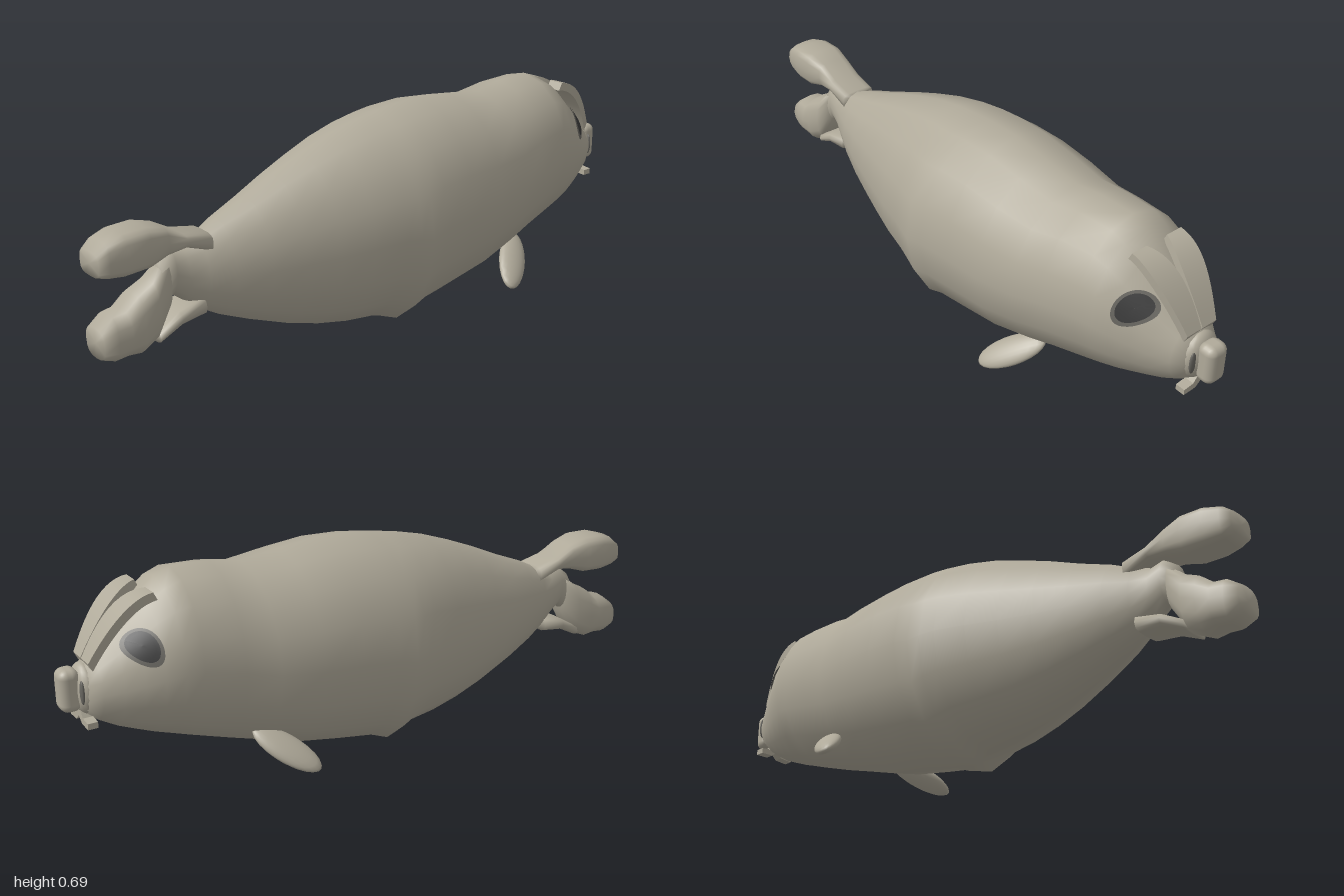
import * as THREE from 'three';
import { RoundedBoxGeometry } from 'three/addons/geometries/RoundedBoxGeometry.js';

const fur = new THREE.MeshStandardMaterial({ color: 0xb0aa9a });
const dark = new THREE.MeshStandardMaterial({ color: 0x3a3a3a, side: THREE.DoubleSide });
const grey = new THREE.MeshStandardMaterial({ color: 0x686660, side: THREE.DoubleSide });

// Cross-sections: x, top, bottom, half width
const bodyRows = [
  [-0.8, 0.4, 0.26, 0.04], [-0.76, 0.43, 0.29, 0.045], [-0.72, 0.42, 0.26, 0.05],
  [-0.67, 0.44, 0.22, 0.07], [-0.6, 0.475, 0.18, 0.1], [-0.5, 0.515, 0.135, 0.135],
  [-0.4, 0.56, 0.095, 0.165], [-0.3, 0.6, 0.065, 0.195], [-0.2, 0.635, 0.045, 0.225],
  [-0.1, 0.66, 0.035, 0.25], [-0.05, 0.668, 0.02, 0.262], [-0.01, 0.675, 0, 0.27],
  [0.05, 0.683, 0.025, 0.267], [0.17, 0.689, 0.045, 0.262], [0.3, 0.677, 0.07, 0.255],
  [0.43, 0.662, 0.11, 0.235], [0.53, 0.68, 0.14, 0.215], [0.65, 0.686, 0.18, 0.2],
  [0.7, 0.668, 0.198, 0.19], [0.75, 0.63, 0.215, 0.17], [0.8, 0.58, 0.235, 0.143],
  [0.85, 0.53, 0.256, 0.115], [0.9, 0.48, 0.285, 0.085], [0.935, 0.45, 0.315, 0.06],
];
const upperTailRows = [
  [-1, 0.48, 0.41, 0.05], [-0.97, 0.505, 0.4, 0.06], [-0.92, 0.52, 0.395, 0.07],
  [-0.85, 0.522, 0.4, 0.072], [-0.79, 0.505, 0.42, 0.062], [-0.73, 0.47, 0.43, 0.06],
  [-0.65, 0.455, 0.4, 0.06],
];
const lowerTailRows = [
  [-1, 0.26, 0.17, 0.05], [-0.96, 0.29, 0.155, 0.06], [-0.92, 0.295, 0.16, 0.065],
  [-0.88, 0.33, 0.155, 0.068], [-0.83, 0.355, 0.18, 0.06], [-0.78, 0.4, 0.26, 0.045],
];
const tailFlapRows = [[-0.83, 0.21, 0.175, 0.055], [-0.76, 0.25, 0.21, 0.06], [-0.68, 0.27, 0.22, 0.06]];

const soft = (v, e) => Math.sign(v) * Math.abs(v) ** e;

function mesh(parent, name, geometry, material) {
  const m = new THREE.Mesh(geometry, material);
  m.name = name;
  parent.add(m);
  return m;
}

// Skin closed rings along x; power below 1 makes the section boxier
function loft(rows, sides = 16, power = 1) {
  const first = rows[0], last = rows[rows.length - 1];
  const tip = ([x, a, b]) => [x, (a + b) / 2, (a + b) / 2, 0];
  const rings = [tip(first), ...rows, tip(last)];
  const pos = [], idx = [];
  rings.forEach(([x, top, bottom, w]) => {
    for (let j = 0; j < sides; j++) {
      const t = (j / sides) * Math.PI * 2;
      pos.push(x, (top + bottom) / 2 + ((top - bottom) / 2) * soft(Math.cos(t), power), w * soft(Math.sin(t), power));
    }
  });
  for (let i = 0; i < rings.length - 1; i++) {
    for (let j = 0; j < sides; j++) {
      const a = i * sides + j, b = i * sides + (j + 1) % sides;
      idx.push(a, b, a + sides, b, b + sides, a + sides);
    }
  }
  const g = new THREE.BufferGeometry();
  g.setAttribute('position', new THREE.Float32BufferAttribute(pos, 3));
  g.setIndex(idx);
  g.computeVertexNormals();
  return g;
}

// Point just above the body skin, t measured down from the back
function onBody(x, t, lift) {
  const i = bodyRows.findIndex((r) => r[0] > x);
  const a = bodyRows[i - 1], b = bodyRows[i], k = (x - a[0]) / (b[0] - a[0]);
  const [, top, bottom, w] = a.map((v, n) => v + (b[n] - v) * k);
  return [x, (top + bottom) / 2 + ((top - bottom) / 2 + lift) * Math.cos(t), (w + lift) * Math.sin(t)];
}

function reshape(g, fn) {
  const p = g.attributes.position;
  for (let i = 0; i < p.count; i++) p.setXYZ(i, ...fn(p.getX(i), p.getY(i), p.getZ(i)));
  g.computeVertexNormals();
  return g;
}

// Slanted oval lying on the side of the head
const eyePatch = (side, size, lift) => reshape(new THREE.RingGeometry(0.01, 1, 28, 4), (a, b) =>
  onBody(0.795 + size * (0.035 * a + 0.018 * b), side * (0.92 + size * (-0.3 * a + 0.15 * b)), lift));

// Curved plate sweeping from the forehead to the nose
const browPlate = (side) => reshape(new THREE.BoxGeometry(1, 1, 1, 12, 1, 1), (x, y, z) => {
  const u = x + 0.5;
  const half = 0.026 + 0.013 * Math.sin(Math.PI * u);
  return [0.735 + 0.185 * u + 0.012 * y, 0.64 - 0.01 * u - 0.17 * u * u + 0.024 * y,
    side * (0.064 - 0.036 * u) + z * 2 * half];
});

export function createModel() {
  const seal = new THREE.Group();
  seal.name = 'seal';
  mesh(seal, 'body', loft(bodyRows), fur);
  mesh(seal, 'upperTailFlipper', loft(upperTailRows, 16, 0.6), fur);
  mesh(seal, 'lowerTailFlipper', loft(lowerTailRows, 16, 0.75), fur);
  mesh(seal, 'tailFlap', loft(tailFlapRows, 12, 0.6), fur);

  // Muzzle, nose and mouth
  const muzzle = mesh(seal, 'muzzle', new THREE.SphereGeometry(1, 20, 14), fur);
  muzzle.position.set(0.925, 0.385, 0);
  muzzle.scale.set(0.035, 0.075, 0.063);
  mesh(seal, 'nose', new RoundedBoxGeometry(0.06, 0.125, 0.07, 3, 0.024), fur).position.set(0.97, 0.39, 0);
  const lip = new THREE.Shape([[-0.064, 0.285], [-0.02, 0.287], [0, 0.305], [0.02, 0.287], [0.064, 0.285],
    [0.064, 0.303], [0.03, 0.307], [0.01, 0.335], [-0.01, 0.335], [-0.03, 0.307], [-0.064, 0.303],
  ].map(([x, y]) => new THREE.Vector2(x, y)));
  const mouth = mesh(seal, 'mouth', new THREE.ExtrudeGeometry(lip, { depth: 0.03, bevelEnabled: false }), fur);
  mouth.rotation.y = Math.PI / 2;
  mouth.position.x = 0.915;

  for (const side of [1, -1]) {
    const label = side > 0 ? 'front' : 'back';
    mesh(seal, label + 'EyeRim', eyePatch(side, 1.2, 0.004), grey);
    mesh(seal, label + 'Eye', eyePatch(side, 0.95, 0.007), dark);
    mesh(seal, label + 'Brow', browPlate(side), fur);

    const nostril = mesh(seal, label + 'Nostril', new THREE.SphereGeometry(1, 12, 8), grey);
    nostril.position.set(0.946, 0.39, side * 0.046);
    nostril.scale.set(0.006, 0.036, 0.012);

    // Fore flipper swept back, down and outward
    const along = new THREE.Vector3(-0.13, -0.1, side * 0.115).normalize();
    const normal = new THREE.Vector3(0, 0.115, side * 0.1).normalize();
    const chord = new THREE.Vector3().crossVectors(normal, along).normalize();
    normal.crossVectors(along, chord);
    const flipper = mesh(seal, label + 'Flipper', new THREE.SphereGeometry(1, 20, 12), fur);
    flipper.quaternion.setFromRotationMatrix(new THREE.Matrix4().makeBasis(along, chord, normal));
    flipper.scale.set(0.115, 0.046, 0.022);
    flipper.position.set(0.405, 0.14, side * 0.203);
  }
  return seal;
}
